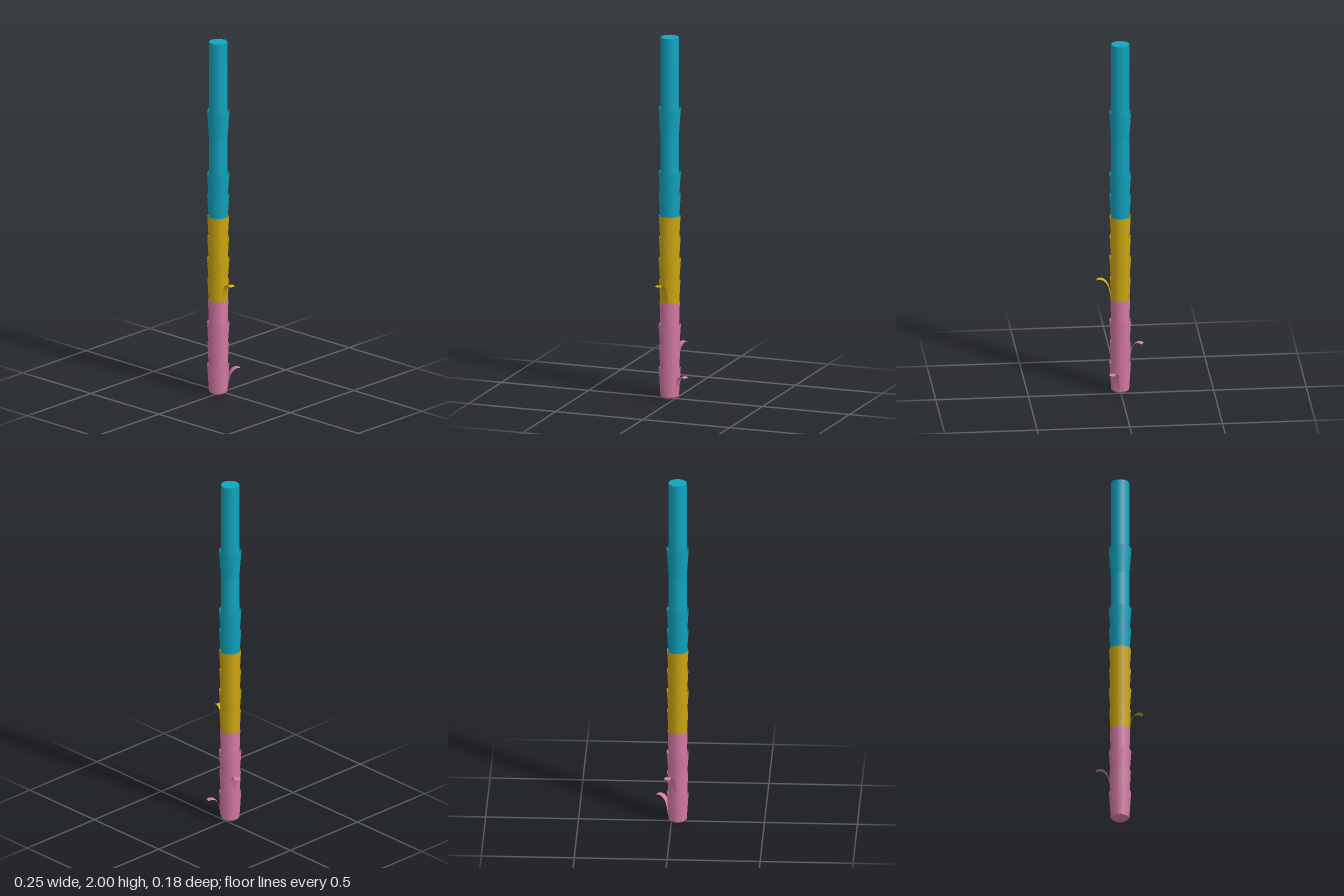
import * as THREE from 'three';

const SIDES = 10, TWIST = -0.155, CORE = 0.05;

function mat(name, color, side = THREE.FrontSide) {
  const m = new THREE.MeshStandardMaterial({ color, side });
  m.name = name;
  return m;
}

export function createModel() {
  const group = new THREE.Group();
  const pink = mat('pink', 0xd87ba7, THREE.DoubleSide);
  const yellow = mat('yellow', 0xd1aa10, THREE.DoubleSide);
  const teal = mat('teal', 0x10a5c0, THREE.DoubleSide);

  const stalk = new THREE.Group();
  stalk.name = 'stalk';
  stalk.position.set(0.001, 0, 0.033);
  group.add(stalk);

  const add = (name, geo, material, y = 0) => {
    const mesh = new THREE.Mesh(geo, material);
    mesh.name = name;
    mesh.position.y = y;
    stalk.add(mesh);
    return mesh;
  };

  // Inner stalk in three coloured lengths
  const core = (name, y0, y1, material, open) => add(name,
    new THREE.CylinderGeometry(CORE, CORE, y1 - y0, SIDES, 1, open, TWIST), material, (y0 + y1) / 2);
  core('lowerStalk', 0.015, 0.535, pink, true);
  core('middleStalk', 0.535, 1.01, yellow, true);
  core('upperStalk', 1.01, 2, teal, false);

  // Shallow point under the stalk
  add('stalkTip', new THREE.CylinderGeometry(CORE, 0.03, 0.015, SIDES, 1, false, TWIST), pink, 0.0075);

  // Open flared sheaths: top height, rim radius, colour
  const sheaths = [
    [0.17, 0.06, pink], [0.29, 0.058, pink], [0.41, 0.061, pink], [0.535, 0.055, pink],
    [0.655, 0.058, yellow], [0.775, 0.061, yellow], [0.895, 0.059, yellow], [1.012, 0.059, yellow],
    [1.132, 0.06, teal], [1.255, 0.061, teal], [1.61, 0.061, teal],
  ];
  for (const [top, radius, material] of sheaths) {
    add('sheath', new THREE.CylinderGeometry(radius, CORE, 0.155, SIDES, 1, true, TWIST), material, top - 0.0775);
  }

  // Curled leaf strips: a flat sheet bent along a curve
  const bend = new THREE.CatmullRomCurve3([
    [0.05, 0], [0.058, 0.048], [0.072, 0.085], [0.093, 0.104], [0.114, 0.107], [0.128, 0.102],
  ].map(([r, y]) => new THREE.Vector3(r, y, 0)));
  const leaf = (y, angle, material) => {
    const geo = new THREE.PlaneGeometry(1, 0.034, 12, 1);
    geo.rotateX(-Math.PI / 2);
    const pos = geo.attributes.position;
    for (let i = 0; i < pos.count; i++) {
      const p = bend.getPoint(THREE.MathUtils.clamp(pos.getX(i) + 0.5, 0, 1));
      pos.setXYZ(i, p.x, p.y, pos.getZ(i));
    }
    geo.computeVertexNormals();
    add('leaf', geo, material, y).rotation.y = angle;
  };
  leaf(0.03, 1.12, pink);
  leaf(0.19, 2.7, pink);
  leaf(0.538, -0.17, yellow);

  return group;
}
